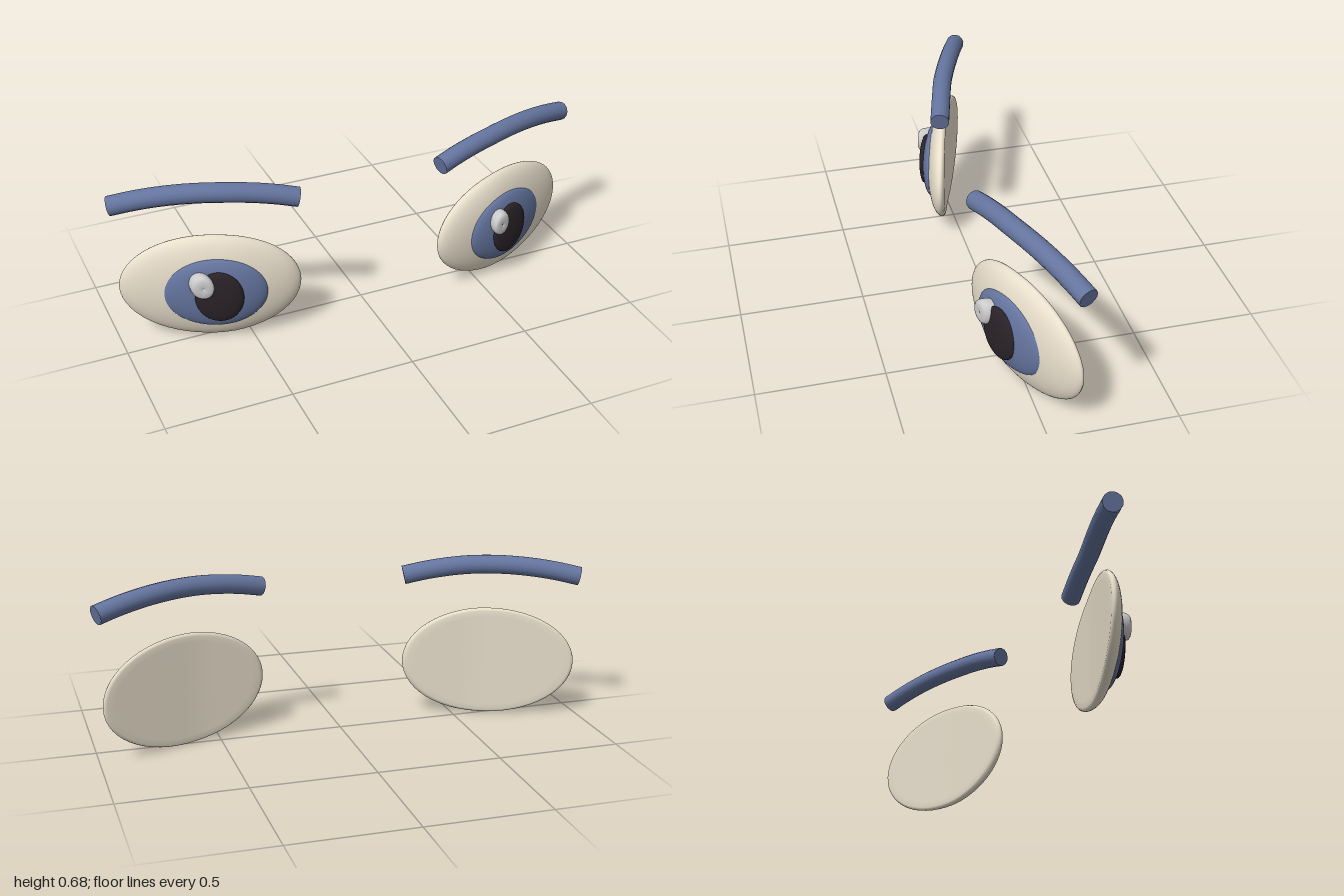
import * as THREE from 'three';
import { mergeVertices } from 'three/addons/utils/BufferGeometryUtils.js';

const mat = (color) => new THREE.MeshStandardMaterial({ color });
const cream = mat(0xe8decb), blue = mat(0x65759f), dark = mat(0x2a2329), grey = mat(0xcccccc);

// Depth of the swept-back face surface at a distance from the middle
function faceDepth(x) {
  const d = Math.abs(x) - 0.58, w = 0.03;
  return 0.008 - 0.32 * d - 0.05 * (Math.sqrt(d * d + w * w) - w);
}

// Domed disc profile (radius, height): flat back, short rounded wall, elliptical dome
function domeProfile(back, edge, top) {
  const pts = [];
  for (let i = 0; i <= 10; i++) pts.push(new THREE.Vector2(0.95 * i / 10, back));
  pts.push(new THREE.Vector2(0.985, back + (edge - back) * 0.35));
  for (let i = 0; i <= 20; i++) {
    const a = (i / 20) * Math.PI / 2;
    pts.push(new THREE.Vector2(i === 20 ? 0 : Math.cos(a), edge + (top - edge) * Math.sin(a)));
  }
  return pts;
}

// Turn a profile into an oval facing +z and lay it on the face surface
function ovalOnFace(name, profile, cx, cy, rx, ry, material) {
  let geo = new THREE.LatheGeometry(profile, 56);
  geo.deleteAttribute('uv');
  geo.deleteAttribute('normal');
  const p = geo.attributes.position;
  for (let i = 0; i < p.count; i++) {
    const x = cx + p.getX(i) * rx, y = cy - p.getZ(i) * ry;
    p.setXYZ(i, x, y, faceDepth(x) + p.getY(i));
  }
  geo = mergeVertices(geo, 1e-5);
  geo.computeVertexNormals();
  const mesh = new THREE.Mesh(geo, material);
  mesh.name = name;
  return mesh;
}

// Arched brow: a tube with flat end caps following the face
function makeBrow(side) {
  const group = new THREE.Group();
  group.name = 'eyebrow';
  const pts = [];
  for (let i = 0; i <= 8; i++) {
    const t = i / 8, x = 0.302 + 0.685 * t, k = 2 * t - 1;
    pts.push(new THREE.Vector3(side * x, 0.645 - 0.045 * k * k, faceDepth(x) + 0.013));
  }
  const curve = new THREE.CatmullRomCurve3(pts), r = 0.039;
  const tube = new THREE.Mesh(new THREE.TubeGeometry(curve, 28, r, 14), blue);
  tube.name = 'browTube';
  group.add(tube);
  for (const t of [0, 1]) {
    const cap = new THREE.Mesh(new THREE.CircleGeometry(r, 14), blue);
    const out = curve.getTangentAt(t).multiplyScalar(t ? 1 : -1);
    cap.position.copy(curve.getPointAt(t));
    cap.quaternion.setFromUnitVectors(new THREE.Vector3(0, 0, 1), out);
    cap.name = 'browEnd';
    group.add(cap);
  }
  return group;
}

export function createModel() {
  const model = new THREE.Group();
  model.name = 'eyes';

  // Thick rounded glint with a small dimple in the middle
  const glint = [[0, 0.085], [0.9, 0.085], [0.98, 0.1], [1, 0.118], [0.97, 0.13], [0.88, 0.139],
    [0.7, 0.144], [0.4, 0.145], [0.15, 0.144], [0.07, 0.14], [0, 0.139]]
    .map(([r, h]) => new THREE.Vector2(r, h));

  for (const side of [1, -1]) {
    const eye = new THREE.Group();
    eye.name = side > 0 ? 'leftEye' : 'rightEye';
    const cx = 0.64 * side;
    eye.add(
      ovalOnFace('eyeWhite', domeProfile(0, 0.012, 0.088), cx, 0.229, 0.339, 0.229, cream),
      ovalOnFace('iris', domeProfile(0.04, 0.066, 0.111), cx, 0.225, 0.195, 0.154, blue),
      ovalOnFace('pupil', domeProfile(0.085, 0.106, 0.13), cx + 0.001, 0.225, 0.09, 0.111, dark),
      // Both glints sit toward the same side, as from one light
      ovalOnFace('glint', glint, cx - 0.064, 0.286, 0.043, 0.052, grey),
      makeBrow(side),
    );
    model.add(eye);
  }
  return model;
}
